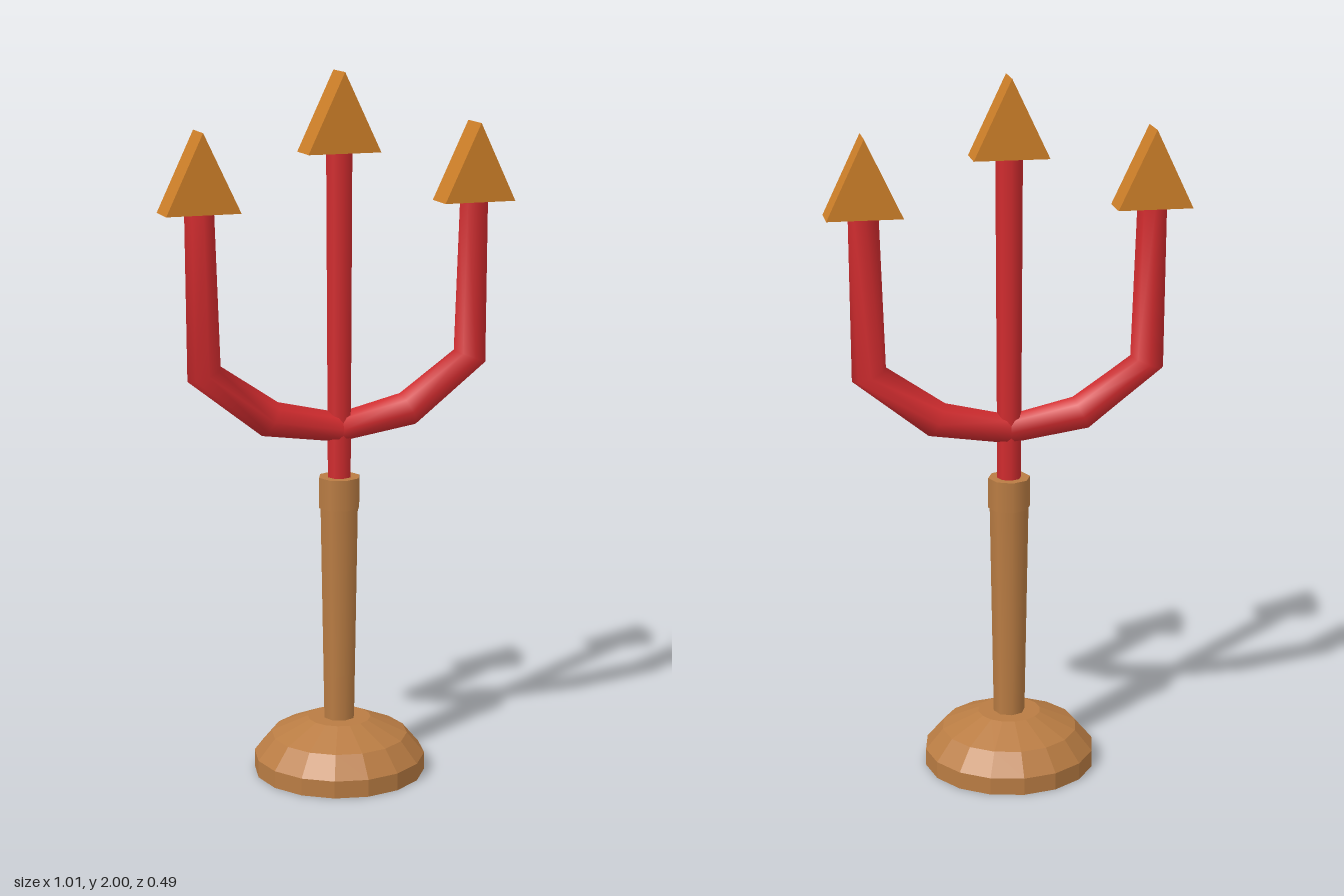
import * as THREE from 'three';

export function createModel() {
  const group = new THREE.Group();
  const wood = new THREE.MeshStandardMaterial({ color: 0xb97c43, name: 'wood' });
  const woodFaceted = wood.clone();
  woodFaceted.flatShading = true;
  const red = new THREE.MeshStandardMaterial({ color: 0xd02b2e, name: 'red' });
  const gold = new THREE.MeshStandardMaterial({ color: 0xcf8029, name: 'gold', flatShading: true });

  const add = (name, geometry, material) => {
    const mesh = new THREE.Mesh(geometry, material);
    mesh.name = name;
    group.add(mesh);
    return mesh;
  };
  const rod = (name, rTop, rBottom, y0, y1, material, sides) => {
    const mesh = add(name, new THREE.CylinderGeometry(rTop, rBottom, y1 - y0, sides), material);
    mesh.position.y = (y0 + y1) / 2;
  };

  // Faceted domed foot
  const profile = [[0, 0], [0.245, 0], [0.245, 0.05], [0.195, 0.11], [0.09, 0.157], [0, 0.157]];
  add('base', new THREE.LatheGeometry(profile.map(([x, y]) => new THREE.Vector2(x, y)), 16), woodFaceted);

  // Handle with a slightly wider collar
  rod('handle', 0.056, 0.045, 0.14, 0.79, wood, 8);
  rod('handleCollar', 0.06, 0.06, 0.78, 0.868, wood, 8);

  // Middle prong
  rod('middleProng', 0.038, 0.034, 0.85, 1.785, red, 8);

  // Side prongs: mitred rings [x, y, in-plane direction x, y, radius]
  const rings = [
    [0, 1.01, 0, 1, 0.042],
    [0.204, 1.048, -0.447, 0.894, 0.052],
    [0.392, 1.188, -0.93, 0.36, 0.051],
    [0.4, 1.635, -1, 0, 0.042],
  ];
  const prongGeometry = (side) => {
    const sides = 8, positions = [], index = [];
    rings.forEach(([x, y, ux, uy, r], i) => {
      for (let j = 0; j < sides; j++) {
        const a = (j / sides) * Math.PI * 2, c = Math.cos(a) * r;
        positions.push(side * (x + ux * c), y + uy * c, Math.sin(a) * r);
        if (i === rings.length - 1) continue;
        const p = i * sides + j, q = i * sides + (j + 1) % sides;
        if (side > 0) index.push(p, q, p + sides, q, q + sides, p + sides);
        else index.push(p, p + sides, q, q, p + sides, q + sides);
      }
    });
    const geometry = new THREE.BufferGeometry();
    geometry.setAttribute('position', new THREE.Float32BufferAttribute(positions, 3));
    geometry.setIndex(index);
    geometry.computeVertexNormals();
    return geometry;
  };
  add('leftProng', prongGeometry(1), red);
  add('rightProng', prongGeometry(-1), red);

  // Triangular prism points
  const triangle = new THREE.Shape([
    new THREE.Vector2(-0.105, 0), new THREE.Vector2(0.105, 0), new THREE.Vector2(0, 0.22),
  ]);
  const tip = new THREE.ExtrudeGeometry(triangle, { depth: 0.096, bevelEnabled: false });
  tip.translate(0, 0, -0.048);
  for (const [name, x, y] of [['leftTip', 0.4, 1.63], ['middleTip', 0, 1.78], ['rightTip', -0.4, 1.63]]) {
    add(name, tip, gold).position.set(x, y, 0);
  }
  return group;
}
